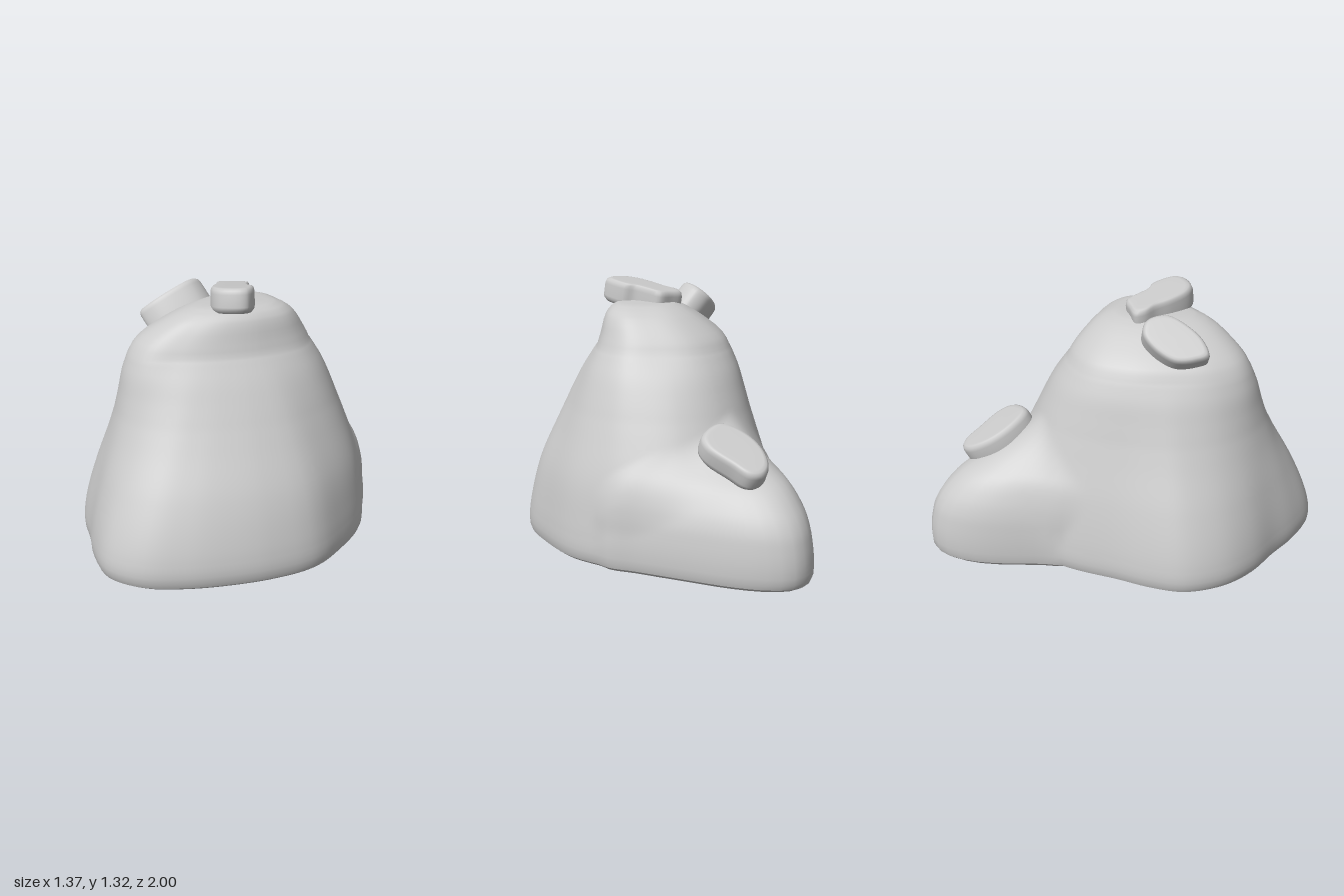
import * as THREE from 'three';

const grey = new THREE.MeshStandardMaterial({ color: 0xcccccc });
const SIDES = 128;
const AXIS = [0.06, 0.17]; // x, z of the mound's vertical axis

// Smooth closed outline through a few (x, z) points
function outline(points, n) {
  const curve = new THREE.CatmullRomCurve3(points.map(([x, z]) => new THREE.Vector3(x, 0, z)), true);
  return curve.getPoints(n).slice(0, n).map(p => [p.x, p.z]);
}

// Smooth value table over height
function table(pairs) {
  const f = new THREE.CubicInterpolant(pairs.map(p => p[0]), pairs.map(p => p[1]), 1);
  return y => f.evaluate(y)[0];
}

// Distance from the axis to the far side of a closed outline at a given angle
function reach(poly, angle) {
  const c = Math.cos(angle), s = Math.sin(angle);
  let best = 0;
  poly.forEach((p, i) => {
    const q = poly[(i + 1) % poly.length];
    const px = p[0] - AXIS[0], pz = p[1] - AXIS[1];
    const dx = q[0] - p[0], dz = q[1] - p[1];
    const det = c * dz - s * dx;
    if (Math.abs(det) < 1e-9) return;
    const t = (px * dz - pz * dx) / det;
    const u = (px * s - pz * c) / det;
    if (u >= -1e-6 && u <= 1 + 1e-6) best = Math.max(best, t);
  });
  return best;
}

// Skin a stack of equal rings, listed from bottom to top
function loft(name, rings) {
  const n = rings[0].length, index = [];
  for (let r = 0; r < rings.length - 1; r++) {
    for (let i = 0; i < n; i++) {
      const a = r * n + i, b = r * n + (i + 1) % n;
      index.push(a, a + n, b, b, a + n, b + n);
    }
  }
  const geo = new THREE.BufferGeometry();
  geo.setAttribute('position', new THREE.Float32BufferAttribute(rings.flat(2), 3));
  geo.setIndex(index);
  geo.computeVertexNormals();
  const mesh = new THREE.Mesh(geo, grey);
  mesh.name = name;
  return mesh;
}

// Mound with a rear shoulder: two stacks of sections blended together
function addBoulder(group) {
  const frontFoot = [
    [0.68, 0.12], [0.67, 0.35], [0.56, 0.56], [0.42, 0.73], [0.27, 0.87], [0.09, 0.98], [-0.1, 0.99],
    [-0.27, 0.88], [-0.4, 0.75], [-0.55, 0.61], [-0.65, 0.45], [-0.685, 0.25], [-0.63, 0.08], [-0.55, -0.07],
  ];
  const moundFoot = [...frontFoot, [-0.43, -0.31], [-0.25, -0.53], [0, -0.62], [0.25, -0.58],
    [0.48, -0.41], [0.58, -0.27], [0.65, -0.12]];
  const shoulderFoot = [
    [-0.4, -0.33], [-0.38, -0.45], [-0.35, -0.7], [-0.31, -0.84], [-0.24, -0.95], [-0.14, -1], [-0.05, -0.98],
    [0.03, -0.93], [0.13, -0.84], [0.3, -0.64], [0.44, -0.47], [0.56, -0.31], [0.4, 0], [-0.3, 0],
  ];
  const crown = [
    [0.385, 0.05], [0.31, 0.25], [0.17, 0.43], [0.02, 0.55], [-0.14, 0.62], [-0.26, 0.57], [-0.33, 0.43],
    [-0.34, 0.25], [-0.3, 0], [-0.19, -0.2], [0, -0.27], [0.2, -0.2], [0.34, -0.1],
  ];
  const shoulderLine = outline(shoulderFoot, 84);
  const moundLine = outline(moundFoot, 105), crownLine = outline(crown, 78);
  const shoulderScale = table([[0, 0.955], [0.015, 0.985], [0.06, 1], [0.12, 1], [0.2, 0.985], [0.27, 0.96],
    [0.35, 0.9], [0.45, 0.77], [0.5, 0.66], [0.56, 0.52], [0.62, 0.37], [0.68, 0.2], [0.75, 0]]);
  // Left and back flanks stay full for longer; the others lean in sooner
  const fullFlank = table([[0, 0], [0.1, 0], [0.2, 0.03], [0.4, 0.14], [0.6, 0.37], [0.8, 0.65], [1, 1]]);
  const leanFlank = table([[0, 0], [0.1, 0], [0.2, 0.06], [0.4, 0.27], [0.6, 0.53], [0.8, 0.77], [1, 1]]);
  const capScale = table([[0.7, 1], [0.8, 1.01], [0.9, 1.022], [0.95, 1.016], [1, 1], [1.05, 0.935], [1.1, 0.83],
    [1.15, 0.7], [1.18, 0.59], [1.2, 0.47], [1.21, 0.33], [1.215, 0]]);
  const angles = Array.from({ length: SIDES }, (_, i) => i / SIDES * Math.PI * 2);
  const low = angles.map(a => reach(moundLine, a)), high = angles.map(a => reach(crownLine, a));

  const ring = y => {
    const k = y < 0.75 ? Math.max(shoulderScale(y), 0) : 0;
    const shoulder = shoulderLine.map(([x, z]) => [-0.05 + (x + 0.05) * k, -0.2 + (z + 0.2) * k]);
    const width = 0.001 + 0.16 * THREE.MathUtils.smoothstep(y, 0.1, 0.5);
    const cx = AXIS[0] + 0.05 * THREE.MathUtils.smoothstep(y, 1.03, 1.2);
    return angles.map((angle, i) => {
      const full = 0.5 + 0.5 * Math.cos(angle + Math.PI / 4);
      const rise = Math.min(y, 1);
      const lean = THREE.MathUtils.lerp(leanFlank(rise), fullFlank(rise), full);
      let r = THREE.MathUtils.lerp(low[i], high[i], lean);
      if (y > 0.7) r *= capScale(y);
      if (y < 0.12) r *= k;
      if (k > 0.01) {
        const other = reach(shoulder, angle);
        const h = Math.max(width - Math.abs(r - other), 0) / width;
        r = Math.max(r, other) + h * h * width / 4;
      }
      return [cx + r * Math.cos(angle), y, AXIS[1] + r * Math.sin(angle)];
    });
  };

  const levels = [0.015, 0.04, 0.07, 0.1];
  for (let y = 0.125; y < 1; y += 0.02) levels.push(y);
  levels.push(1, 1.025, 1.05, 1.075, 1.1, 1.125, 1.15, 1.165, 1.18, 1.19, 1.2, 1.206, 1.21, 1.215);
  group.add(loft('boulder', levels.map(ring)));

  // Narrow chamfer and flat underside
  const bottom = ring(0);
  group.add(loft('baseRim', [bottom, ring(0.015)]));
  group.add(loft('underside', [bottom.map(() => [AXIS[0], 0, AXIS[1]]), bottom]));
}

// Flat pebble with rounded edges lying on the plane y = h + sx * x + sz * z
function pebble(name, points, [h, sx, sz], bottom, top) {
  const line = outline(points, 52);
  const normal = new THREE.Vector3(-sx, 1, -sz).normalize();
  const cx = line.reduce((sum, p) => sum + p[0], 0) / line.length;
  const cz = line.reduce((sum, p) => sum + p[1], 0) / line.length;
  const profile = [[0, bottom], [0.9, bottom], [0.98, bottom + 0.015], [1, bottom + 0.03], [1, top - 0.03],
    [0.97, top - 0.012], [0.9, top - 0.002], [0.8, top], [0.4, top], [0, top]];
  return loft(name, profile.map(([s, d]) => line.map(p => {
    const x = cx + (p[0] - cx) * s, z = cz + (p[1] - cz) * s;
    return [x + normal.x * d, h + sx * x + sz * z + normal.y * d, z + normal.z * d];
  })));
}

export function createModel() {
  const group = new THREE.Group();
  group.name = 'boulderWithPebbles';
  addBoulder(group);
  group.add(pebble('rearPebble', [
    [-0.04, -0.8], [0.02, -0.79], [0.07, -0.72], [0.145, -0.6], [0.135, -0.53], [0.02, -0.465],
    [-0.04, -0.48], [-0.11, -0.57], [-0.13, -0.67], [-0.1, -0.76],
  ], [0.92, 0, 0.54], -0.06, 0.05));
  group.add(pebble('rightPebble', [
    [-0.32, 0.33], [-0.32, 0.22], [-0.26, 0.12], [-0.2, 0.08], [-0.15, 0.1], [-0.13, 0.2],
    [-0.17, 0.29], [-0.24, 0.37], [-0.3, 0.39],
  ], [1.35, 0.85, 0], -0.09, 0.06));
  group.add(pebble('topPebble', [
    [-0.07, 0.06], [0, 0.04], [0.07, 0.03], [0.11, 0.09], [0.15, 0.15], [0.2, 0.18], [0.245, 0.3],
    [0.22, 0.34], [0.13, 0.37], [0.06, 0.34], [0, 0.25], [-0.03, 0.17], [-0.07, 0.11],
  ], [1.209, 0.1, 0.12], -0.07, 0.05));
  return group;
}
